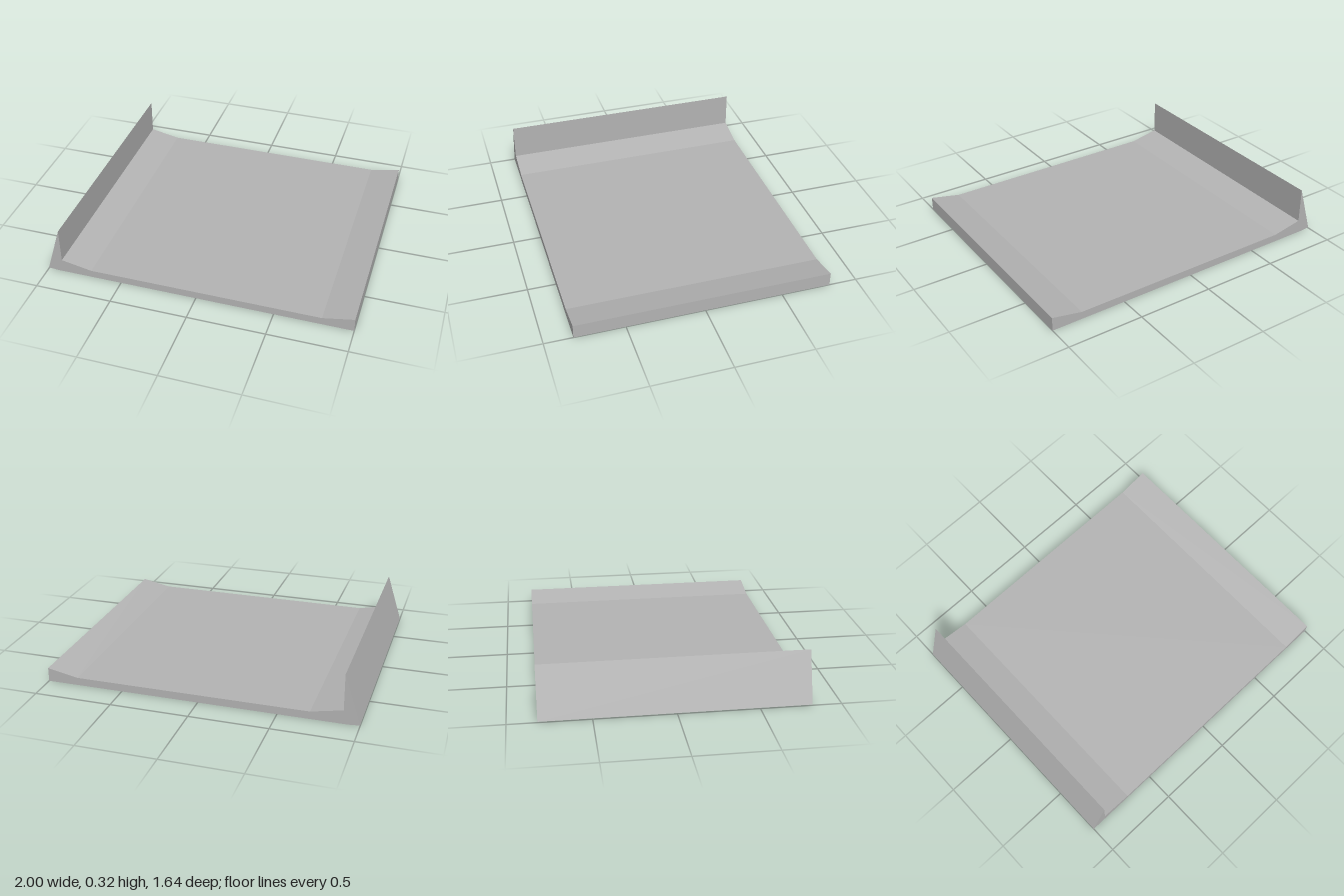
import * as THREE from 'three';

export function createModel() {
  const group = new THREE.Group();
  const grey = new THREE.MeshStandardMaterial({ color: 0xb4b4b4, flatShading: true });
  grey.name = 'plain grey';
  const depth = 1.64;

  // Cross-section: slanted wall, shallow tray floor and raised far lip
  const profile = new THREE.Shape([
    [-1, 0.005], [-0.93, 0], [1, 0], [1, 0.09], [0.8, 0.05],
    [-0.7, 0.05], [-0.9, 0.09], [-0.9, 0.323],
  ].map(([x, y]) => new THREE.Vector2(x, y)));

  // Sweep the section from back to front
  const geometry = new THREE.ExtrudeGeometry(profile, { depth, bevelEnabled: false });
  geometry.translate(0, 0, -depth / 2);

  const tray = new THREE.Mesh(geometry, grey);
  tray.name = 'trayWithWall';
  group.add(tray);
  return group;
}
